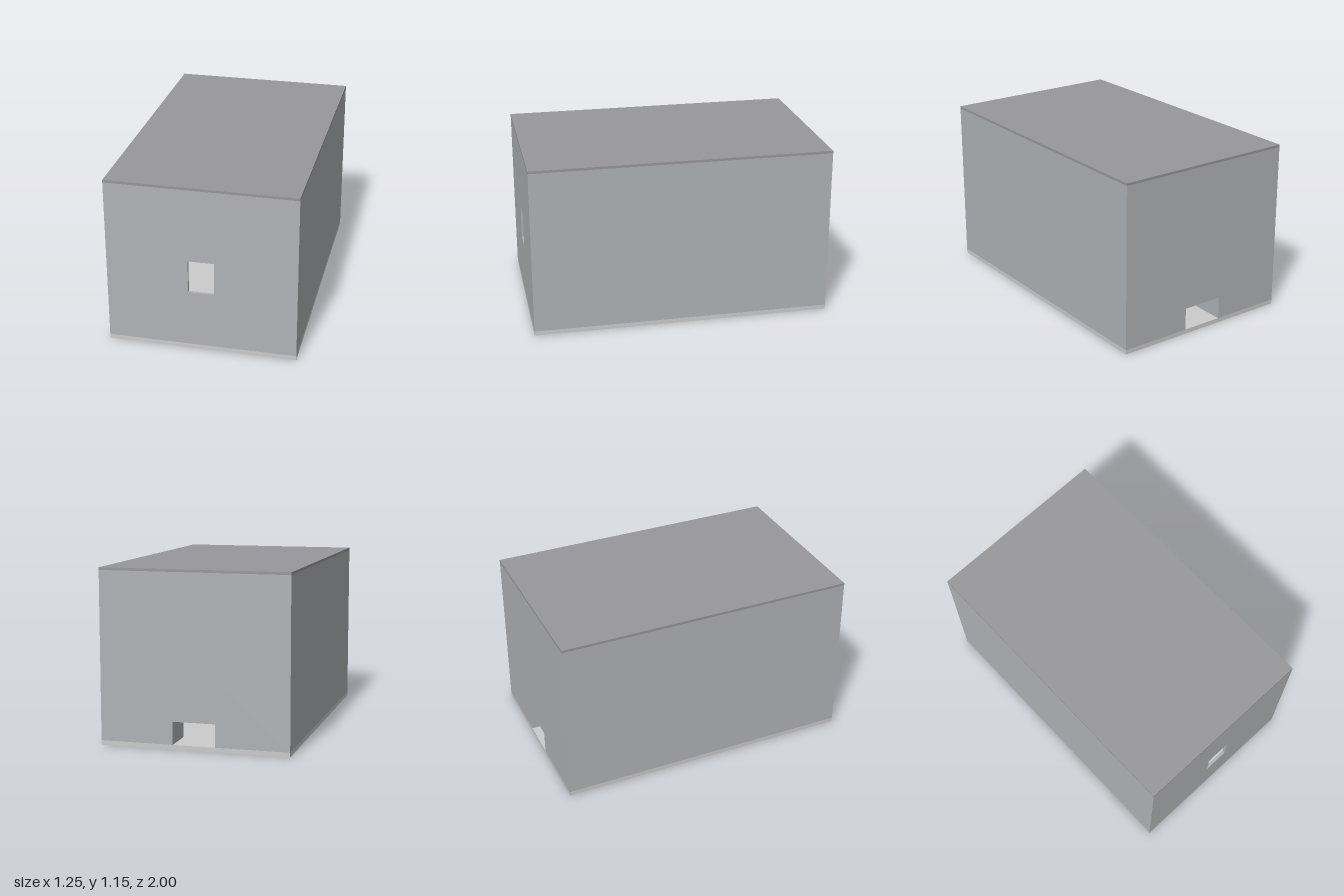
import * as THREE from 'three';

const W = 1.245, D = 2, H = 1.147;   // overall width, depth, height
const BASE = 0.03, LID = 0.017, T = 0.02; // base, lid and panel thickness

const baseMat = new THREE.MeshStandardMaterial({ color: 0xcccccc });
const wallMat = new THREE.MeshStandardMaterial({ color: 0xb0b3b6 });
const lidMat = new THREE.MeshStandardMaterial({ color: 0x98989c });

// Closed shape from a list of corners
const poly = (pts) => new THREE.Shape(pts.map(([x, y]) => new THREE.Vector2(x, y)));
const rect = (x0, y0, x1, y1) => poly([[x0, y0], [x1, y0], [x1, y1], [x0, y1]]);

export function createModel() {
  const group = new THREE.Group();
  const add = (name, geometry, material, x, y, z) => {
    const mesh = new THREE.Mesh(geometry, material);
    mesh.name = name;
    mesh.position.set(x, y, z);
    group.add(mesh);
    return mesh;
  };
  const panel = (shape, depth = T) =>
    new THREE.ExtrudeGeometry(shape, { depth, bevelEnabled: false });

  // Base plate and lid
  add('basePlate', new THREE.BoxGeometry(W, BASE, D), baseMat, 0, BASE / 2, 0);
  add('lid', new THREE.BoxGeometry(W, LID, D), lidMat, 0, H - LID / 2, 0);

  // Side walls between base and lid
  const top = H - LID, wallH = top - BASE;
  for (const [s, name] of [[1, 'leftWall'], [-1, 'rightWall']]) {
    add(name, new THREE.BoxGeometry(T, wallH, D), wallMat, s * (W - T) / 2, BASE + wallH / 2, 0);
  }

  // Front wall with a window
  const x = W / 2 - T;
  const front = rect(-x, BASE, x, top);
  front.holes.push(rect(-0.085, 0.413, 0.085, 0.637));
  add('frontWall', panel(front), wallMat, 0, 0, D / 2 - T);

  // Back wall with a low entrance notch
  const e = 0.14, eTop = 0.18;
  const back = poly([[-x, BASE], [-e, BASE], [-e, eTop], [e, eTop],
    [e, BASE], [x, BASE], [x, top], [-x, top]]);
  add('backWall', panel(back), wallMat, 0, 0, -D / 2);

  // Short passage walls behind the entrance
  const passage = 0.2;
  for (const s of [1, -1]) {
    add('passageWall', new THREE.BoxGeometry(T, eTop - BASE, passage), wallMat,
      s * (e + T / 2), (eTop + BASE) / 2, -D / 2 + T + passage / 2);
  }

  // Inner floor above the passage, with a central opening
  const z = D / 2 - T;
  const floor = rect(-x, -z, x, z);
  floor.holes.push(rect(-0.44, -0.45, 0.44, 0.45));
  add('innerFloor', panel(floor), baseMat, 0, eTop + T, 0).rotation.x = Math.PI / 2;

  return group;
}
